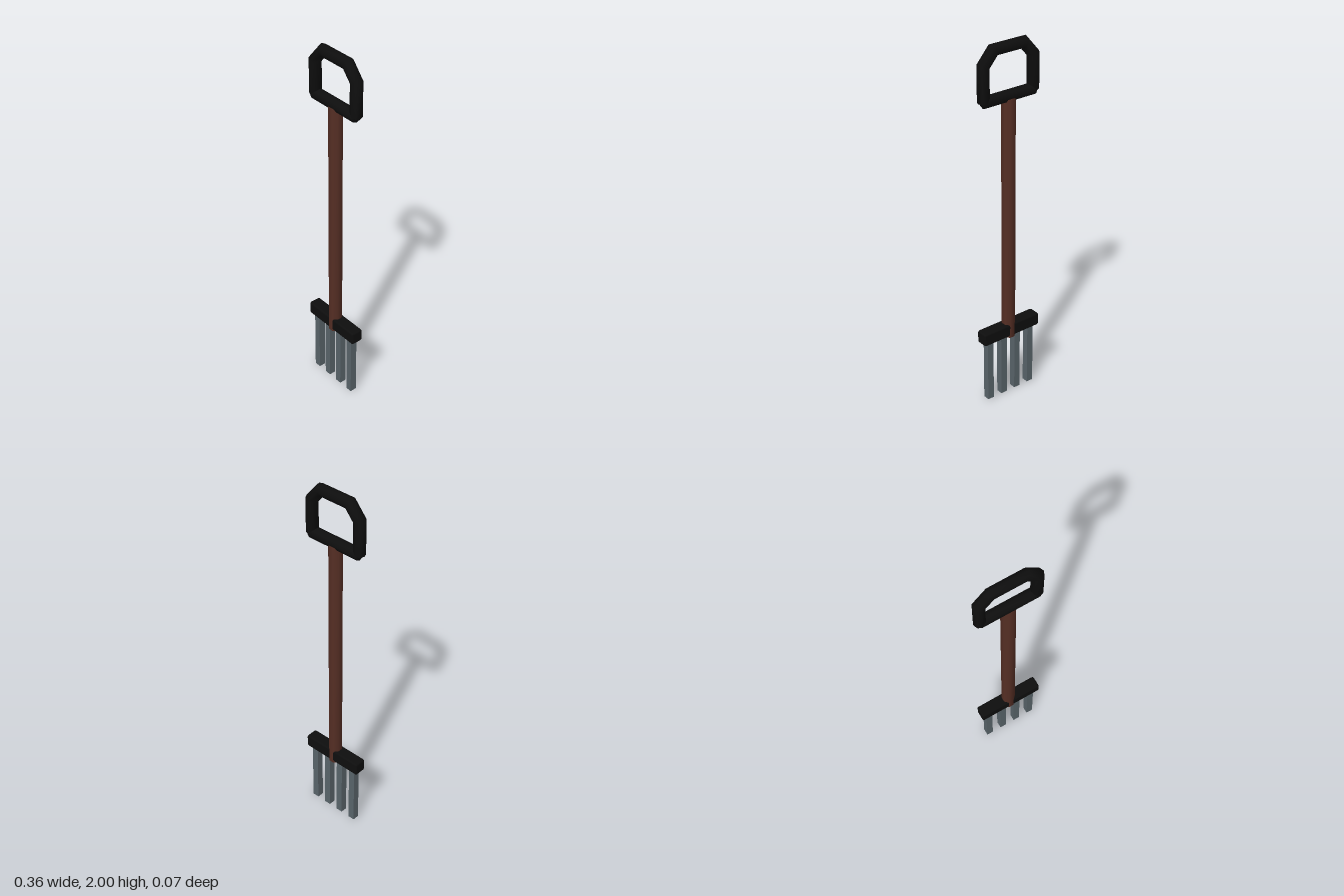
import * as THREE from 'three';
import { mergeVertices } from 'three/addons/utils/BufferGeometryUtils.js';
import { RoundedBoxGeometry } from 'three/addons/geometries/RoundedBoxGeometry.js';

const SIDES = 8;

// Welds a geometry so normals run smoothly over its sides and caps
function weld(geometry) {
  geometry.deleteAttribute('normal');
  geometry.deleteAttribute('uv');
  const welded = mergeVertices(geometry, 1e-4);
  welded.computeVertexNormals();
  return welded;
}

// Sweeps a round section along a flat path with mitred corners and closed ends
function mitredTube(points, radius) {
  const positions = [], index = [];
  const last = points.length - 1;
  points.forEach((p, i) => {
    const dirIn = p.clone().sub(points[Math.max(i - 1, 0)]).normalize();
    const dirOut = points[Math.min(i + 1, last)].clone().sub(p).normalize();
    const along = dirIn.clone().add(dirOut).normalize();
    const mitre = 1 / along.dot(i === 0 ? dirOut : dirIn);
    for (let j = 0; j < SIDES; j++) {
      const a = (j / SIDES) * Math.PI * 2;
      const out = Math.cos(a) * radius * mitre;
      positions.push(p.x + along.y * out, p.y - along.x * out, Math.sin(a) * radius);
    }
  });
  for (let i = 0; i < last; i++) {
    for (let j = 0; j < SIDES; j++) {
      const k = (j + 1) % SIDES;
      const a = i * SIDES + j, b = i * SIDES + k;
      index.push(a, a + SIDES, b, b, a + SIDES, b + SIDES);
    }
  }
  for (let j = 1; j < SIDES - 1; j++) {
    const e = last * SIDES;
    index.push(0, j, j + 1, e, e + j + 1, e + j);
  }
  const geometry = new THREE.BufferGeometry();
  geometry.setAttribute('position', new THREE.Float32BufferAttribute(positions, 3));
  geometry.setIndex(index);
  geometry.computeVertexNormals();
  return geometry;
}

export function createModel() {
  const model = new THREE.Group();
  model.name = 'gardenFork';

  const wood = new THREE.MeshStandardMaterial({ color: 0x552e24 });
  wood.name = 'brownWood';
  const black = new THREE.MeshStandardMaterial({ color: 0x0e0e0e });
  black.name = 'blackGrip';
  const steel = new THREE.MeshStandardMaterial({ color: 0x59646a });
  steel.name = 'greySteel';

  function add(name, geometry, material, x = 0, y = 0) {
    const mesh = new THREE.Mesh(geometry, material);
    mesh.name = name;
    mesh.position.set(x, y, 0);
    model.add(mesh);
    return mesh;
  }

  // Shaft, with flat sides to the front and back
  const shaft = new THREE.CylinderGeometry(0.037, 0.037, 1.36, SIDES);
  shaft.rotateY(Math.PI / SIDES);
  add('shaft', weld(shaft), wood, 0, 1.03);

  // D-shaped handle: bent loop and the crossbar beneath it
  const half = [[0.15, 1.72], [0.15, 1.9], [0.09, 1.97]];
  const path = [
    ...half.map(([x, y]) => new THREE.Vector2(x, y)),
    ...half.slice().reverse().map(([x, y]) => new THREE.Vector2(-x, y)),
  ];
  add('handleLoop', mitredTube(path, 0.031), black);
  const crossbar = new THREE.CylinderGeometry(0.031, 0.031, 0.306, SIDES);
  crossbar.rotateZ(Math.PI / 2);
  add('handleCrossbar', weld(crossbar), black, 0, 1.72);

  // Head bar with softened edges
  add('headBar', new RoundedBoxGeometry(0.36, 0.072, 0.068, 1, 0.01), black, 0, 0.394);

  // Four square tines
  const tine = new THREE.BoxGeometry(0.037, 0.38, 0.037);
  for (let i = 0; i < 4; i++) add('tine' + (i + 1), tine, steel, (i - 1.5) * 0.0885, 0.19);

  return model;
}
